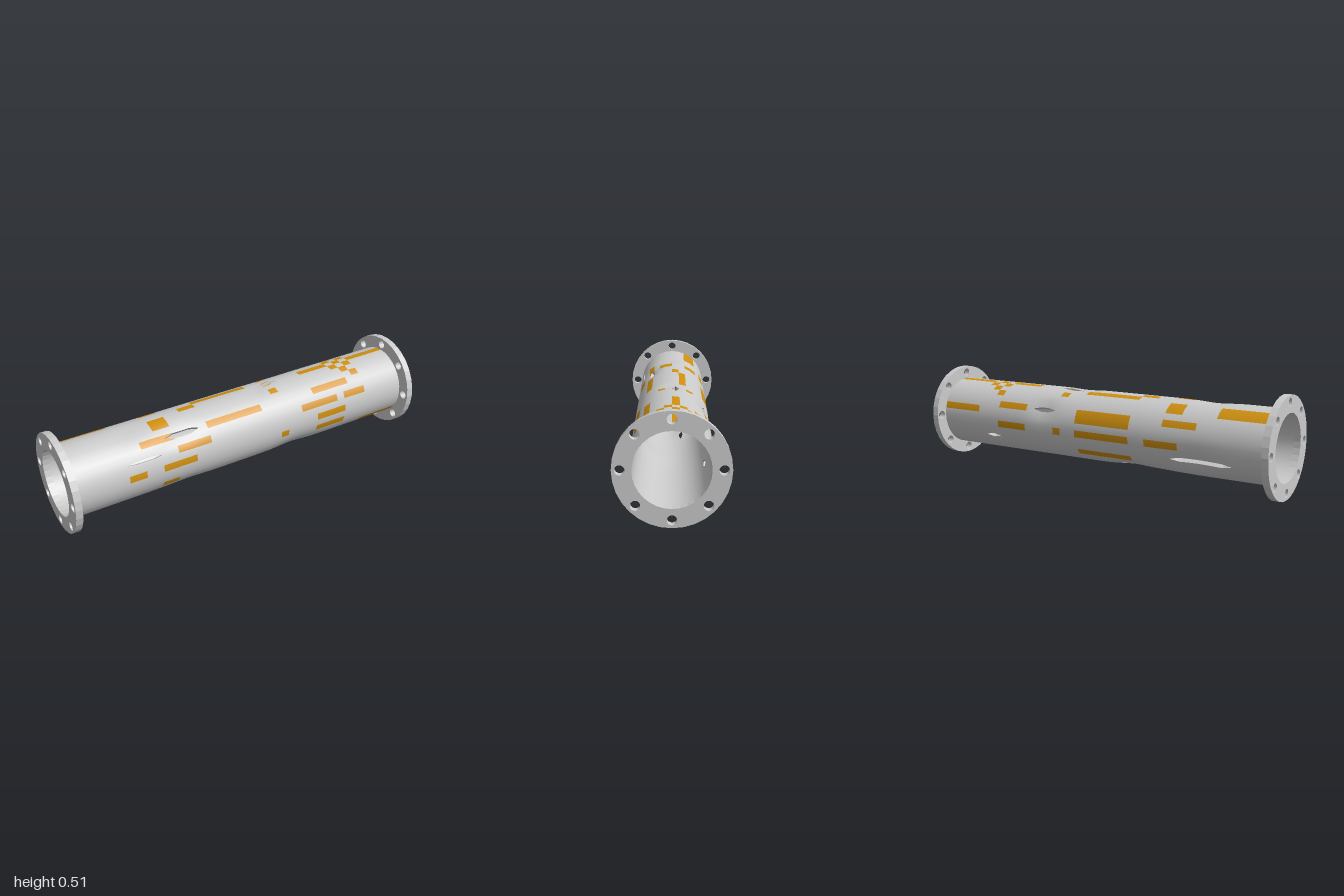
import * as THREE from 'three';

const CY = 0.254, R_OUT = 0.186, R_IN = 0.168, ROWS = 32, COLS = 42;
const X0 = -0.966, X1 = 0.966, STEP = 0.0457;
const mod = (n, m) => ((n % m) + m) % m;

// Shallow dents: [x, row, depth, x spread, row spread]
const DENTS = [
  [-0.38, 4.3, 0.012, 0.09, 1.3], [-0.62, 7.5, 0.008, 0.09, 2], [0.14, 8, 0.009, 0.07, 1.5],
  [-0.36, -7, 0.011, 0.11, 3], [0.28, -4.5, 0.009, 0.1, 2.5], [0.3, 13.5, 0.012, 0.08, 1.5],
  [-0.6, 18.5, 0.01, 0.14, 1.6], [-0.2, 22.5, 0.012, 0.1, 1.5],
];

// Tears through the wall: [first column, end column, row, half opening in rows]
const TEARS = [
  [6, 10, 2, 0.2], [11, 15, 4, 0.42], [24, 27, 8, 0.35], [26, 29, 13, 0.35],
  [34, 36, 18, 0.35], [15, 19, 22, 0.35], [4, 11, 18, 0.35],
];

// Long rust patches: [first column, end column, row, row count if not 1]
const RUST = [
  [6, 8, 0], [10, 14, 0], [10, 12, -3], [8, 12, 4], [12, 16, 2], [10, 12, 6, 2],
  [30, 34, 0], [30, 34, -2], [28, 33, 2], [34, 37, 2], [30, 35, 4], [29, 33, -6],
  [35, 37, -5], [37, 42, -4], [37, 42, -6], [0, 6, 10, 2], [10, 12, 10, 2], [8, 12, 13],
  [14, 16, 8], [30, 34, 8], [37, 42, 8], [30, 34, 13], [10, 14, 16], [37, 42, 14], [30, 34, 16],
];
const STREAK_ROWS = [4, 9, 13, 14, 16, 19, 27]; // rows streaked along the middle of the pipe
const SPECK_ROWS = [6, 8, 10, 16, 26, 27, 31]; // single cells around one column
const DIAGONALS = [41, 43, 45]; // staircases where column + row is constant

function isRusty(k, j) {
  return RUST.some(([a, b, r, n = 1]) => k >= a && k < b && mod(j - r, ROWS) < n)
    || (k >= 16 && k < 23 && STREAK_ROWS.includes(j))
    || (k === 25 && SPECK_ROWS.includes(j))
    || (k >= 34 && k < 37 && DIAGONALS.includes(k + j));
}

const columnX = (u) => (u >= COLS ? X1 : Math.max(X0, -0.9667 + u * STEP));

function radius(x, row, base) {
  let r = base;
  for (const [dx, dr, depth, sx, sr] of DENTS) {
    const w = mod(row - dr + 16, ROWS) - 16;
    r -= depth * Math.exp(-(((x - dx) / sx) ** 2) - (w / sr) ** 2);
  }
  return r;
}

// Point and smooth normal on the wall at column u, row v
function wallPoint(u, v, base) {
  const at = (x, row) => {
    const a = (row * 2 * Math.PI) / ROWS, r = radius(x, row, base);
    return new THREE.Vector3(x, CY + r * Math.sin(a), r * Math.cos(a));
  };
  const x = columnX(u), e = 0.01;
  const du = at(x + e, v).sub(at(x - e, v)), dv = at(x, v + e).sub(at(x, v - e));
  const n = du.cross(dv).normalize();
  return { p: at(x, v), n: base === R_IN ? n.negate() : n };
}

function surfaceBuilder() {
  const pos = [], nor = [];
  return {
    quad(a, b, c, d) {
      for (const q of [a, b, c, a, c, d]) { pos.push(...q.p); nor.push(...q.n); }
    },
    mesh(name, color, flat) {
      const g = new THREE.BufferGeometry();
      g.setAttribute('position', new THREE.Float32BufferAttribute(pos, 3));
      g.setAttribute('normal', new THREE.Float32BufferAttribute(nor, 3));
      if (flat) g.computeVertexNormals();
      const m = new THREE.Mesh(g, new THREE.MeshStandardMaterial({ color }));
      if (flat) m.material.side = THREE.DoubleSide;
      m.name = name;
      return m;
    },
  };
}

function buildPipe() {
  const outer = surfaceBuilder(), rust = surfaceBuilder(), inner = surfaceBuilder(), lips = surfaceBuilder();
  for (let k = 0; k < COLS; k++) {
    for (let j = 0; j < ROWS; j++) {
      const tear = TEARS.find(([a, b, r]) => k >= a && k < b && r === j);
      const skin = isRusty(k, j) ? rust : outer;
      // Wall piece between lower rows (l0, l1) and upper rows (h0, h1)
      const patch = (l0, l1, h0, h1) => {
        const corners = (r) => [wallPoint(k, l0, r), wallPoint(k + 1, l1, r), wallPoint(k + 1, h1, r), wallPoint(k, h0, r)];
        skin.quad(...corners(R_OUT));
        inner.quad(...corners(R_IN).reverse());
      };
      if (!tear) { patch(j, j, j + 1, j + 1); continue; }
      // Torn cell: two strips around a tapering opening, with lips through the wall
      const open = (c) => (c === tear[0] || c === tear[1] ? 0.03 : tear[3]);
      const m = j + 0.5, a = open(k), b = open(k + 1);
      patch(j, j, m - a, m - b);
      patch(m + a, m + b, j + 1, j + 1);
      for (const s of [-1, 1]) {
        lips.quad(wallPoint(k, m + s * a, R_OUT), wallPoint(k + 1, m + s * b, R_OUT),
          wallPoint(k + 1, m + s * b, R_IN), wallPoint(k, m + s * a, R_IN));
      }
    }
  }
  const pipe = new THREE.Group();
  pipe.name = 'pipe';
  pipe.add(outer.mesh('outerWall', 0xcccccc), rust.mesh('rustPatches', 0xd0900f),
    inner.mesh('innerWall', 0xcccccc), lips.mesh('tearEdges', 0xcccccc, true));
  return pipe;
}

// Ring with eight bolt holes, lying across the pipe axis
function buildFlange(side) {
  const shape = new THREE.Shape().absarc(0, 0, 0.253, 0, Math.PI * 2);
  shape.holes.push(new THREE.Path().absarc(0, 0, R_IN, 0, Math.PI * 2, true));
  for (let i = 0; i < 8; i++) {
    const a = (i * Math.PI) / 4;
    shape.holes.push(new THREE.Path().absarc(0.218 * Math.cos(a), 0.218 * Math.sin(a), 0.022, 0, Math.PI * 2, true));
  }
  const g = new THREE.ExtrudeGeometry(shape, { depth: 0.035, bevelEnabled: false, curveSegments: 16 });
  g.rotateY(Math.PI / 2);
  const m = new THREE.Mesh(g, new THREE.MeshStandardMaterial({ color: 0xcccccc }));
  m.position.set(side > 0 ? 0.965 : -1, CY, 0);
  m.name = side > 0 ? 'leftFlange' : 'rightFlange';
  return m;
}

export function createModel() {
  const model = new THREE.Group();
  model.name = 'damagedPipe';
  model.add(buildPipe(), buildFlange(1), buildFlange(-1));
  return model;
}
